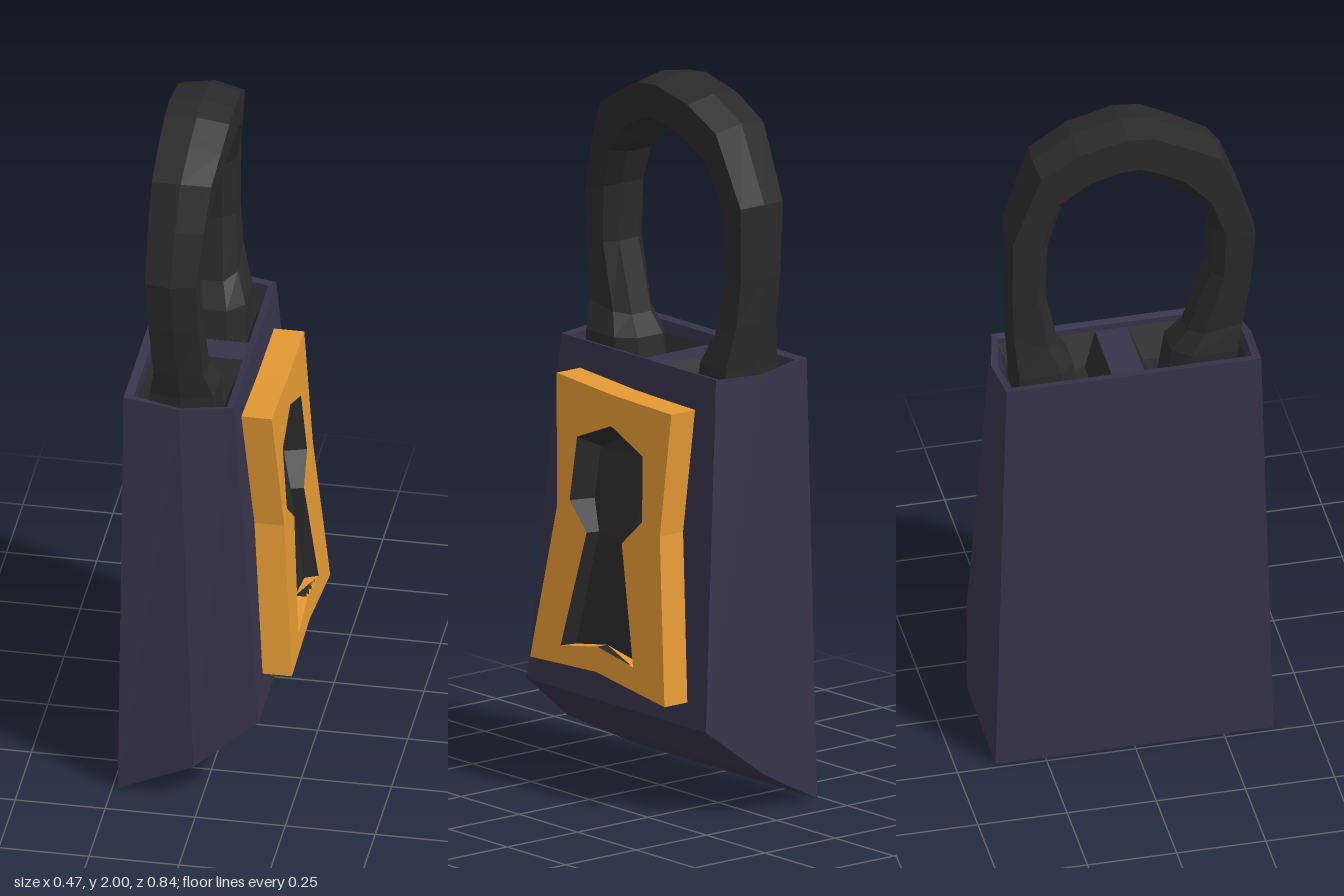
import * as THREE from 'three';

const material = (color) => new THREE.MeshStandardMaterial({ color, flatShading: true, side: THREE.DoubleSide });
const purple = material(0x37334a);
const gold = material(0xe29833);
const dark = material(0x2a2a2a);

function part(name, geometry, mat) {
  const mesh = new THREE.Mesh(geometry, mat);
  mesh.name = name;
  return mesh;
}

// Skin over a list of equal-length loops of [x, y, z]; caps are built as strips across the loop.
function loft(loops, capped = true) {
  const n = loops[0].length, last = (loops.length - 1) * n;
  const points = loops.flat();
  let tris = [];
  const quad = (a, b, c, d) => tris.push([a, b, c], [a, c, d]);
  for (let k = 0; k < loops.length - 1; k++) {
    for (let i = 0; i < n; i++) {
      const j = (i + 1) % n;
      quad(k * n + i, k * n + j, (k + 1) * n + j, (k + 1) * n + i);
    }
  }
  if (capped) {
    for (let i = 0; i < n - 2 - i; i++) {
      const [a, b, c, d] = [i, i + 1, n - 2 - i, n - 1 - i];
      quad(d, c, b, a);
      quad(last + a, last + b, last + c, last + d);
    }
  }
  // Turn the faces outward if the enclosed volume is negative
  const v = points.map((p) => new THREE.Vector3(...p));
  const volume = tris.reduce((s, [a, b, c]) => s + v[a].dot(v[b].clone().cross(v[c])), 0);
  if (volume < 0) tris = tris.map(([a, b, c]) => [a, c, b]);
  const g = new THREE.BufferGeometry();
  g.setAttribute('position', new THREE.Float32BufferAttribute(points.flat(), 3));
  g.setIndex(tris.flat());
  const flat = g.toNonIndexed();
  flat.computeVertexNormals();
  return flat;
}

// Six-sided body loop from back, middle and front stations [x, y, halfWidth]
const bodyLoop = (stations) => [
  ...stations,
  ...stations.map(([x, y, z]) => [x, y, -z]).reverse(),
];

function createBody() {
  const group = new THREE.Group();
  group.name = 'body';
  group.add(part('casing', loft([
    bodyLoop([[-0.235, 0, 0.39], [-0.02, 0.11, 0.42], [0.155, 0.25, 0.383]]),
    bodyLoop([[-0.225, 1.24, 0.357], [-0.07, 1.222, 0.365], [0.075, 1.222, 0.33]]),
    bodyLoop([[-0.2, 1.235, 0.337], [-0.07, 1.215, 0.345], [0.055, 1.217, 0.318]]),
    bodyLoop([[-0.2, 1.08, 0.337], [-0.07, 1.08, 0.345], [0.055, 1.08, 0.318]]),
  ]), purple));

  // Bridge between the two shackle sockets
  const bridge = part('socketBridge', new THREE.BoxGeometry(0.255, 0.12, 0.09), purple);
  bridge.position.set(-0.0725, 1.14, 0);
  group.add(bridge);

  // Tapered dark lining of each socket
  const socketLoop = (s, y, inset) => [
    [-0.199 + inset, y, s * (0.046 + inset)], [0.054 - inset, y, s * (0.046 + inset)],
    [0.054 - inset, y, s * (0.317 - inset)], [-0.199 + inset, y, s * (0.335 - inset)],
  ];
  for (const s of [1, -1]) {
    group.add(part('socketLining', loft([socketLoop(s, 1.2, 0), socketLoop(s, 1.1, 0.04)], false), dark));
    const floor = part('socketFloor', new THREE.BoxGeometry(0.25, 0.02, 0.27), dark);
    floor.position.set(-0.0725, 1.1, s * 0.185);
    group.add(floor);
  }
  return group;
}

function createShackle() {
  // Stations: outer z, outer y, inner z, inner y, x min, x max
  const stations = [
    [0.32, 1.1, 0.11, 1.1, -0.165, 0.02],
    [0.32, 1.23, 0.13, 1.23, -0.162, 0.015],
    [0.335, 1.31, 0.175, 1.285, -0.148, -0.012],
    [0.352, 1.46, 0.24, 1.48, -0.158, -0.02],
    [0.365, 1.61, 0.24, 1.64, -0.166, -0.025],
    [0.32, 1.76, 0.2, 1.74, -0.166, -0.012],
    [0.272, 1.89, 0.12, 1.8, -0.164, 0],
    [0.17, 1.945, 0.07, 1.83, -0.164, 0.01],
    [0.08, 1.99, 0.02, 1.847, -0.162, 0.018],
    [0, 2, -0.03, 1.842, -0.162, 0.018],
    [-0.14, 1.968, -0.1, 1.82, -0.162, 0.014],
    [-0.252, 1.905, -0.18, 1.765, -0.164, 0.004],
    [-0.335, 1.69, -0.22, 1.65, -0.166, -0.02],
    [-0.333, 1.48, -0.225, 1.48, -0.158, -0.022],
    [-0.33, 1.36, -0.185, 1.3, -0.148, -0.012],
    [-0.32, 1.23, -0.145, 1.23, -0.162, 0.015],
    [-0.32, 1.1, -0.12, 1.1, -0.165, 0.02],
  ];
  // Section: u across the thickness, t from the inner to the outer edge
  const section = [[0, 0.92], [0.5, 1], [1, 0.88], [1, 0.25], [0.75, 0], [0.25, 0], [0, 0.25]];
  const loops = stations.map(([oz, oy, iz, iy, x0, x1]) =>
    section.map(([u, t]) => [x0 + u * (x1 - x0), iy + t * (oy - iy), iz + t * (oz - iz)]));
  return part('shackle', loft(loops), dark);
}

// Leaning front plane of the plate
const plateX = (y) => 0.165 + (1.15 - y) * 0.079;
const toVectors = (points) => points.map(([a, b]) => new THREE.Vector2(a, b));

function createPlate() {
  const group = new THREE.Group();
  group.name = 'keyholePlate';
  const outline = [[-0.243, 1.143], [-0.206, 0.78], [-0.28, 0.344], [0, 0.357],
    [0.297, 0.317], [0.233, 0.78], [0.25, 1.123], [0, 1.128]];
  const half = [[0.14, 0.985], [0.155, 0.805], [0.075, 0.73], [0.155, 0.4]];
  const keyhole = [[0, 1.042], ...half, [0, 0.427], ...half.map(([a, b]) => [-a, b]).reverse()];

  // Slab with a keyhole, turned to face +x and sheared to lean with the casing
  const shape = new THREE.Shape(toVectors(outline));
  shape.holes.push(new THREE.Path(toVectors(keyhole)));
  const slab = new THREE.ExtrudeGeometry(shape, { depth: 0.085, bevelEnabled: false });
  const p = slab.attributes.position;
  for (let i = 0; i < p.count; i++) {
    const [a, y, d] = [p.getX(i), p.getY(i), p.getZ(i)];
    p.setXYZ(i, plateX(y) + d - 0.085, y, -a);
  }
  slab.computeVertexNormals();
  group.add(part('plate', slab, gold));

  // Keyhole recess: tapered walls and a floor that is deeper in the round upper part
  const floorPoints = keyhole.map(([a, y]) => [a * 0.85, y > 0.9 ? y - 0.033 : y]);
  const floorX = (y) => plateX(y) - (y > 0.75 ? 0.07 : 0.035);
  group.add(part('keyholeWall', loft([
    keyhole.map(([a, y]) => [plateX(y), y, -a]),
    floorPoints.map(([a, y]) => [floorX(y), y, -a]),
  ], false), dark));
  const floor = new THREE.ShapeGeometry(new THREE.Shape(toVectors(floorPoints)));
  const f = floor.attributes.position;
  for (let i = 0; i < f.count; i++) {
    const [a, y] = [f.getX(i), f.getY(i)];
    f.setXYZ(i, floorX(y), y, -a);
  }
  floor.computeVertexNormals();
  group.add(part('keyholeFloor', floor, dark));
  return group;
}

export function createModel() {
  const model = new THREE.Group();
  model.name = 'padlock';
  model.add(createBody(), createShackle(), createPlate());
  return model;
}
